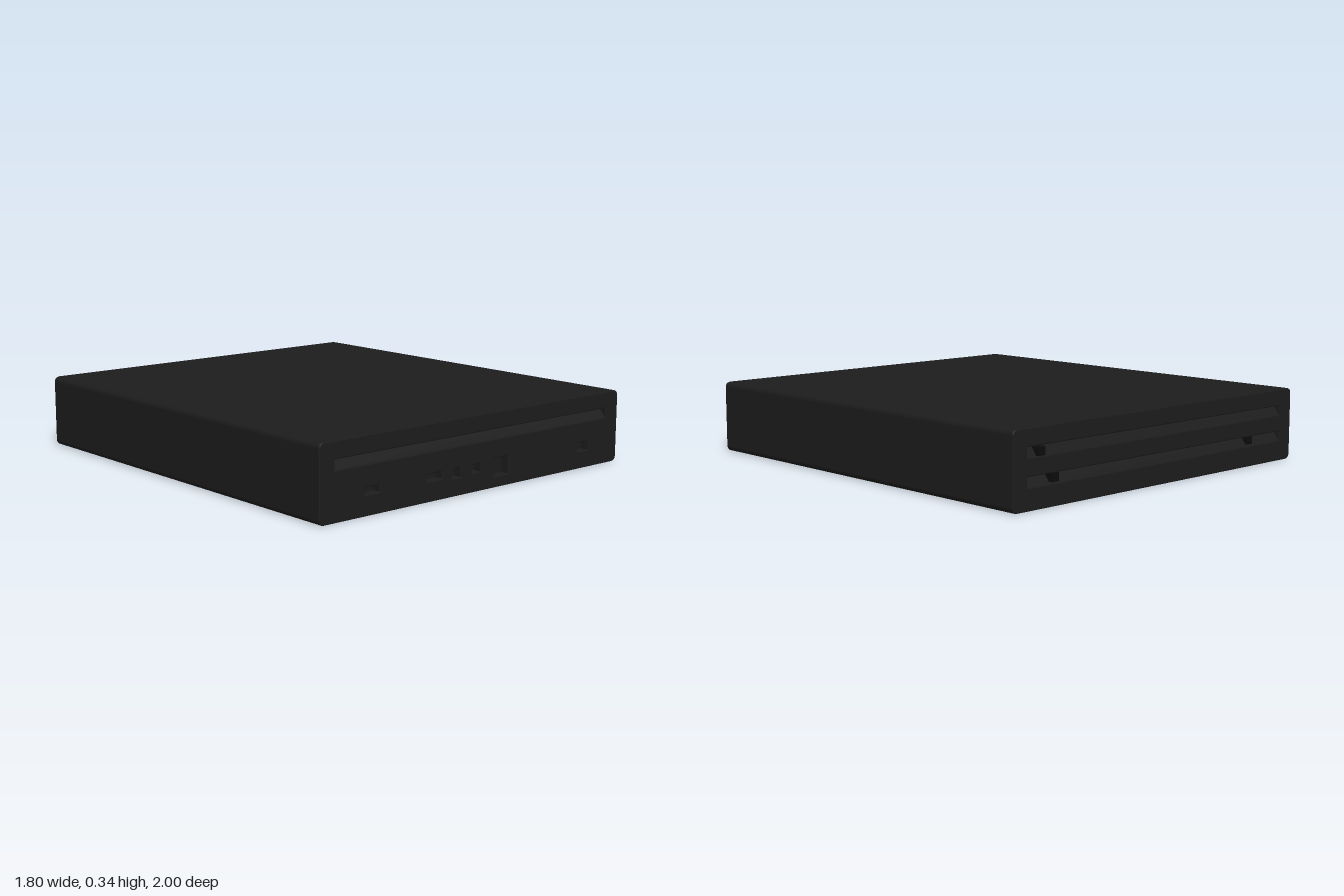
import * as THREE from 'three';

const W = 1.8, H = 0.335, FLOOR = 0.96;
const dark = new THREE.MeshStandardMaterial({ color: 0x1c1c1c });
const black = new THREE.MeshStandardMaterial({ color: 0x0c0c0c });

// Rounded outline of the case, seen from the front
function outline(r = 0.025) {
  const s = new THREE.Shape(), x = W / 2;
  s.moveTo(-x + r, 0);
  s.lineTo(x - r, 0);
  s.absarc(x - r, r, r, -Math.PI / 2, 0);
  s.absarc(x - r, H - r, r, 0, Math.PI / 2);
  s.absarc(-x + r, H - r, r, Math.PI / 2, Math.PI);
  s.absarc(-x + r, r, r, Math.PI, Math.PI * 1.5);
  return s;
}

function add(parent, name, geometry, material = dark) {
  const m = new THREE.Mesh(geometry, material);
  m.name = name;
  parent.add(m);
  return m;
}

// End panel with rectangular openings [x0, x1, y0, y1]; its face lies at z = face
function panel(name, openings, face) {
  const g = new THREE.Group(), s = outline(), b = 0.005, start = FLOOR - 0.015;
  g.name = name;
  for (const [x0, x1, y0, y1] of openings) {
    s.holes.push(new THREE.Path([[x0, y0], [x0, y1], [x1, y1], [x1, y0]]
      .map(([x, y]) => new THREE.Vector2(x, y))));
  }
  const geo = new THREE.ExtrudeGeometry(s, {
    depth: face - start - 2 * b, bevelSize: b, bevelThickness: b, bevelOffset: -b, bevelSegments: 2, curveSegments: 6,
  });
  geo.translate(0, 0, start + b);
  add(g, name + 'Plate', geo);
  return g;
}

// Sloping floor of a long slot, flush below and deep at the top
function slotRamp(parent, [x0, x1, y0, y1], face) {
  const s = new THREE.Shape([[FLOOR - 0.01, y0 - 0.005], [face - 0.006, y0 - 0.005], [face - 0.006, y0], [FLOOR, y1 - 0.004], [FLOOR - 0.01, y1 - 0.004]]
    .map(([z, y]) => new THREE.Vector2(z, y)));
  const geo = new THREE.ExtrudeGeometry(s, { depth: x1 - x0, bevelEnabled: false });
  geo.rotateY(-Math.PI / 2);
  geo.translate(x1, 0, 0);
  add(parent, 'slotRamp', geo);
}

export function createModel() {
  const root = new THREE.Group();
  root.name = 'consoleBox';

  // Main case
  const core = new THREE.ExtrudeGeometry(outline(), { depth: 2 * FLOOR, bevelEnabled: false, curveSegments: 6 });
  core.translate(0, 0, -FLOOR);
  add(root, 'case', core);

  // Front panel: long slot and a row of ports
  const slot = [-0.82, 0.82, 0.215, 0.258];
  const ports = [
    [-0.66, -0.58, 0.09, 0.12],
    [-0.32, -0.23, 0.09, 0.12],
    [-0.17, -0.12, 0.08, 0.12],
    [-0.05, 0, 0.085, 0.12],
    [0.08, 0.17, 0.05, 0.13],
    [0.63, 0.70, 0.08, 0.12],
  ];
  const front = panel('frontPanel', [slot, ...ports], 1);
  slotRamp(front, slot, 1);
  root.add(front);

  // Back panel: two long slots
  const back = panel('backPanel', [], 0.995);
  back.clear();
  const backSlots = [[-0.82, 0.82, 0.215, 0.258], [-0.82, 0.82, 0.095, 0.138]];
  back.add(...panel('backPanel', backSlots, 0.995).children);
  backSlots.forEach((s) => slotRamp(back, s, 0.995));

  // Small sockets set in the back slots
  for (const [x, y] of [[-0.67, 0.12], [-0.745, 0.235], [0.6, 0.12]]) {
    const socket = add(back, 'socket', new THREE.BoxGeometry(0.04, 0.036, 0.04), black);
    socket.position.set(x, y, x > 0 ? 0.97 : 0.98);
  }
  back.rotation.y = Math.PI;
  root.add(back);

  return root;
}
